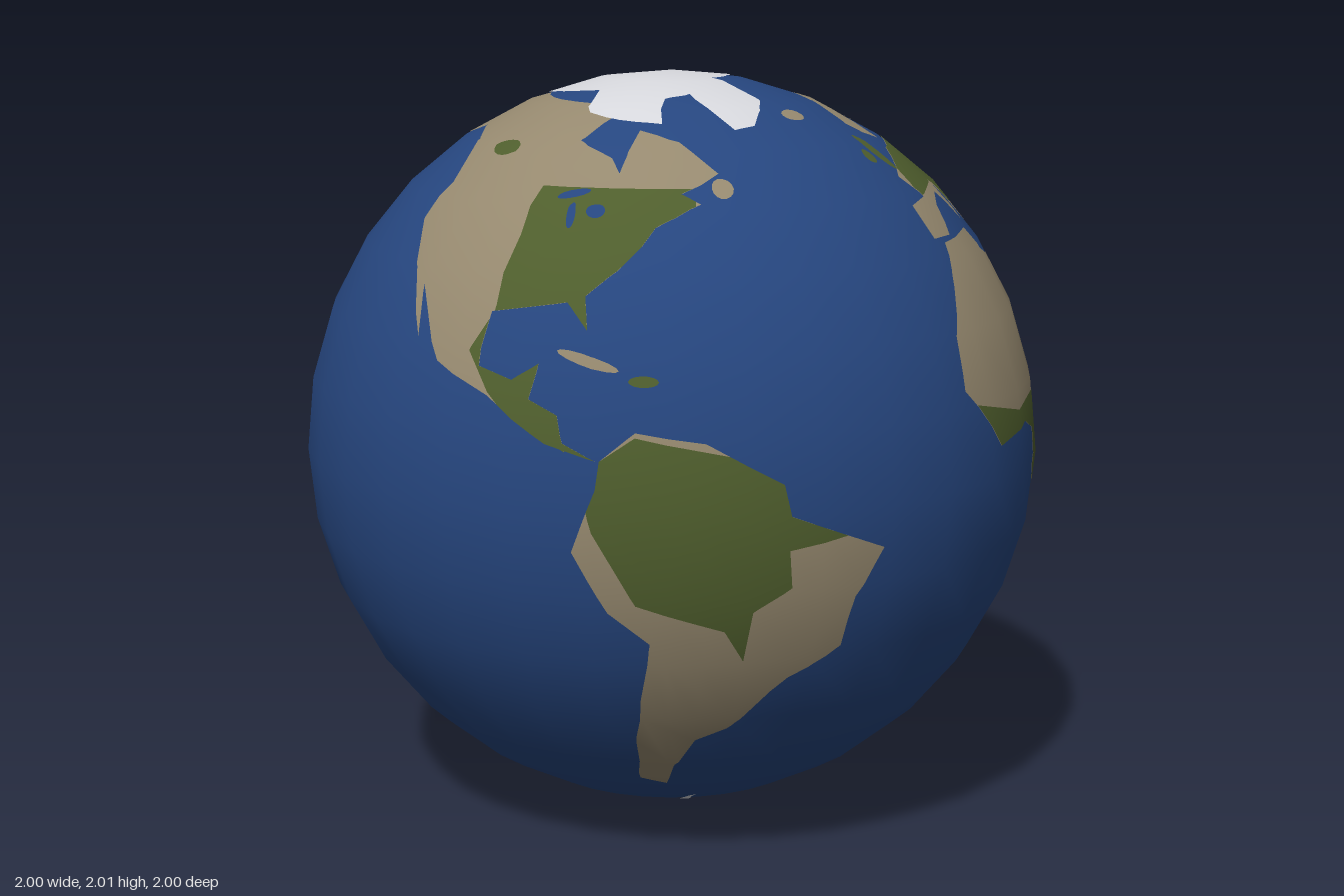
import * as THREE from 'three';

const DEG = Math.PI / 180, COLS = 32, ROWS = 16;

const mat = (name, color) => {
  const m = new THREE.MeshStandardMaterial({ color });
  m.name = name;
  return m;
};

// Unit direction of a longitude and latitude in degrees
const onSphere = ([lon, lat]) => new THREE.Vector3(
  Math.cos(lat * DEG) * Math.cos(lon * DEG), Math.sin(lat * DEG), -Math.cos(lat * DEG) * Math.sin(lon * DEG));

// The flat facets of the low-poly ball, each as a triangle on the lon/lat map
function makeFacets() {
  const facets = [], s = 360 / COLS;
  const add = (...map) => facets.push({ map, corners: map.map(onSphere) });
  for (let r = 0; r < ROWS; r++) for (let c = 0; c < COLS; c++) {
    const w = -180 + c * s, e = w + s, n = 90 - r * s, b = n - s, mid = w + s / 2;
    if (r === 0) add([mid, 90], [w, b], [e, b]);
    else if (r === ROWS - 1) add([e, n], [w, n], [mid, -90]);
    else {
      add([e, n], [w, n], [e, b]);
      add([w, n], [w, b], [e, b]);
    }
  }
  return facets;
}

const cross = (a, b, p) => (b[0] - a[0]) * (p[1] - a[1]) - (b[1] - a[1]) * (p[0] - a[0]);

// Convex polygon cut by a counter-clockwise triangle
function clip(poly, tri) {
  for (let i = 0; i < 3 && poly.length; i++) {
    const a = tri[i], b = tri[(i + 1) % 3], out = [];
    poly.forEach((p, k) => {
      const q = poly[(k + 1) % poly.length], dp = cross(a, b, p), dq = cross(a, b, q);
      if (dp >= 0) out.push(p);
      if ((dp >= 0) !== (dq >= 0)) {
        const t = dp / (dp - dq);
        out.push([p[0] + (q[0] - p[0]) * t, p[1] + (q[1] - p[1]) * t]);
      }
    });
    poly = out;
  }
  return poly;
}

// Flat list of numbers to points
const pairs = (list) => {
  const out = [];
  for (let i = 0; i < list.length; i += 2) out.push([list[i], list[i + 1]]);
  return out;
};

// Map outline to counter-clockwise triangles
function triangles(points) {
  const v = points.map(([x, y]) => new THREE.Vector2(x, y));
  return THREE.ShapeUtils.triangulateShape(v, []).map((face) => {
    const t = face.map((i) => points[i]);
    return cross(...t) < 0 ? t.reverse() : t;
  });
}

const region = (...list) => triangles(pairs(list));

// Oval island or lake: centre, half sizes and tilt in degrees
const oval = (lon, lat, rx, ry, tilt = 0) => triangles(Array.from({ length: 14 }, (_, i) => {
  const a = i / 7 * Math.PI, x = rx * Math.cos(a), y = ry * Math.sin(a);
  const c = Math.cos(tilt * DEG), s = Math.sin(tilt * DEG);
  return [lon + x * c - y * s, lat + x * s + y * c];
}));

// Part of the land lying inside a climate zone
const inside = (land, zone) => land.flatMap((t) => zone.map((z) => clip(t, z))).filter((p) => p.length > 2);

// Lay convex map pieces onto the facets as one thin patch
function patchGeometry(facets, pieces, radius) {
  const pos = [], nor = [];
  for (const piece of pieces) {
    const lons = piece.map((p) => p[0]), west = Math.min(...lons), east = Math.max(...lons);
    for (const { map, corners } of facets) {
      if (Math.max(...map.map((p) => p[0])) < west || Math.min(...map.map((p) => p[0])) > east) continue;
      const area = cross(...map);
      const pts = clip(piece, map).map((p) => {
        const v = new THREE.Vector3();
        corners.forEach((c, i) => v.addScaledVector(c, cross(map[(i + 1) % 3], map[(i + 2) % 3], p) / area));
        return v;
      });
      for (let k = 1; k + 1 < pts.length; k++) for (const v of [pts[0], pts[k], pts[k + 1]]) {
        pos.push(v.x * radius, v.y * radius, v.z * radius);
        nor.push(...v.clone().normalize().toArray());
      }
    }
  }
  const g = new THREE.BufferGeometry();
  g.setAttribute('position', new THREE.Float32BufferAttribute(pos, 3));
  g.setAttribute('normal', new THREE.Float32BufferAttribute(nor, 3));
  return g;
}

export function createModel() {
  const water = mat('ocean blue', 0x26467f), dry = mat('dry land tan', 0x96896f);
  const forest = mat('forest green', 0x4f5e2d), snow = mat('ice white', 0xd6d7dc);
  const globe = new THREE.Group();
  globe.name = 'globe';
  globe.position.y = 1;
  const facets = makeFacets();

  const ocean = new THREE.Mesh(new THREE.SphereGeometry(0.999, COLS, ROWS), water);
  ocean.name = 'ocean';
  globe.add(ocean);

  const patch = (name, material, level, ...parts) => {
    const m = new THREE.Mesh(patchGeometry(facets, parts.flat(), 0.999 + level * 0.0012), material);
    m.name = name;
    globe.add(m);
  };

  // Continents
  const northAmerica = region(-168, 66, -156, 71, -128, 70, -85, 69, -94, 59, -82, 55, -79, 52, -77, 62, -65, 59, -56, 52,
    -65, 48, -61, 46, -70, 42, -76, 35, -81, 31, -80, 26, -84, 30, -97, 28, -97, 20, -91, 18.5, -87, 21, -88, 16, -83.5, 14,
    -82, 9, -77.5, 8, -85, 10, -95, 16, -105, 20, -113, 31, -110, 23, -117, 33, -124, 41, -124, 48, -134, 57, -148, 60,
    -163, 54.5, -158, 59, -165, 62);
  const southAmerica = region(-77, 8, -72, 12, -62, 10.5, -51, 4.5, -50, 0, -35, -6, -39, -13, -40, -21, -48, -26, -57, -36,
    -62, -39, -66, -46, -68, -54, -74, -52, -73, -38, -70, -19, -76, -14, -81, -5, -77.5, 4);
  const africa = region(-6, 36, 10, 37, 11, 33, 20, 31, 32, 31, 37, 21, 43, 11.5, 51, 12, 41, -2, 40.5, -15, 35, -20, 32, -28,
    27, -34, 19, -34.5, 12, -18, 13.5, -9, 9, -1, 9.5, 4, 4, 6, -8, 4.5, -17, 14, -16, 22, -10, 31);
  const europe = region(-9, 37, -2, 37, 3, 42, 9, 44, 16, 38, 18, 40, 13, 45, 19, 42, 22, 37, 24, 41, 28, 37, 36, 36.5, 34, 30,
    43, 13, 52, 16, 59.5, 22.5, 54, 24.5, 48, 30, 60, 25.3, 60, 69, 44, 67, 30, 70, 25, 71, 14, 68, 5, 61, 7, 58, 12, 56,
    18, 60, 24, 66, 22, 61, 29, 60, 21, 55, 9, 54, -4, 48.5, -1, 44, -9, 43);
  const asia = region(60, 25.3, 67, 25, 73, 20, 77.5, 8, 80, 14, 90, 22, 97, 17, 98.5, 9, 104, 1.5, 100, 8, 100.5, 13.5, 105, 9,
    109, 12, 106, 19, 116, 23, 122, 30, 119, 36, 121.5, 40, 126, 34.5, 129, 36, 128, 40, 140, 48, 137, 54.5, 155, 59.5,
    162, 61, 156, 51, 163, 58, 180, 62.5, 180, 69, 140, 73, 105, 77, 68, 70, 60, 69);
  const australia = region(114, -22, 126, -14, 132, -11.5, 136, -15, 140.5, -17.5, 142.5, -11, 146, -19, 153, -26, 150, -37,
    145, -39, 137, -34, 131, -31.5, 118, -35, 113.5, -26);
  patch('northAmerica', dry, 1, northAmerica);
  patch('southAmerica', dry, 1, southAmerica);
  patch('africa', dry, 1, africa);
  patch('europeAndArabia', dry, 1, europe);
  patch('asia', dry, 1, asia);
  patch('australia', dry, 1, australia);
  patch('dryIslands', dry, 1, oval(47, -19, 2.3, 6.5, -18), oval(-19, 65, 5, 1.5), oval(59, 73, 7, 1.5, 25),
    oval(-79.5, 21.7, 5, 0.8, -15), oval(110, -7.5, 5, 0.8, -6), oval(175.5, -39, 3, 1.5, -60), oval(170, -44, 4, 1.3, 45),
    oval(-56, 49, 2.5, 2), oval(146.7, -42, 1.7, 1.5), oval(-175, 66, 5, 2), oval(143, 50, 4, 0.8, 90));

  // Forests: the land within each climate zone
  patch('northAmericanForest', forest, 2, oval(-116, 56, 5, 1.8), inside(northAmerica,
    region(-96.5, 49, -62, 49, -62, 40, -76, 24, -76, 7, -86, 9, -95, 16.5, -99, 22, -96.5, 28)));
  patch('southAmericanForest', forest, 2, inside(southAmerica,
    region(-80, 6, -72, 11.3, -50, 7, -41, 0, -41, -3.5, -50, -5, -49.5, -10.5, -55, -14, -56, -22, -59, -17, -72, -12.7, -78, -2)));
  patch('africanForest', forest, 2, inside(africa,
    region(-18, 12.3, 0, 8.5, 10, 9.5, 31, 9.8, 35, 7, 32, -3, 15.5, -7, 5, -3, -18, 3)));
  patch('europeanForest', forest, 2, inside([...europe, ...asia],
    region(0, 51, -3, 44, 13, 46, 20, 41, 27, 41, 44, 48, 70, 56, 72, 61, 55, 66, 23, 59, 12, 56)));
  patch('northAsianForest', forest, 2,
    inside(asia, region(69, 56, 87, 50, 104, 50.5, 117, 55, 133, 57, 136, 61.7, 99, 63, 69, 61)),
    inside(asia, region(121, 46, 118, 40, 128, 33, 142, 48, 140, 53, 118, 51)));
  patch('southAsianForest', forest, 2, inside(asia,
    region(91, 27, 104, 27, 108, 31.5, 123, 32, 112, 8, 103, 0, 96, 8, 91, 20)));
  patch('forestIslands', forest, 2, oval(-2.5, 54, 4.5, 1.8, 115), oval(-8, 53.3, 2, 1.5), oval(137.5, 35.5, 7, 1.2, 35),
    oval(143, 43.3, 2, 1.3), oval(101, -0.5, 8, 1.8, -48), oval(114, 1, 5.5, 3.5, 45), oval(121, -2, 1, 3.5),
    oval(121, 16, 1.2, 2.8), oval(125, 8, 1.8, 1.5), oval(140.5, -5.5, 9.5, 2, -22), oval(-71, 19, 2.3, 0.8));

  // Polar ice: the northern edge is drawn from above the pole as x, z
  const northEdge = pairs([-0.35, 0.04, -0.27, 0.16, -0.1, 0.25, -0.06, 0.4, 0.03, 0.43, 0.15, 0.42, 0.1, 0.3, 0.15, 0.24,
    0.32, 0.35, 0.35, 0.3, 0.31, 0.15, 0.14, 0.06, 0.14, -0.05, 0.09, -0.16, -0.18, -0.19, -0.32, -0.08])
    .map(([x, z]) => [Math.atan2(-z, x) / DEG, Math.acos(Math.hypot(x, z)) / DEG]);
  patch('arcticIce', snow, 3, oval(100, 73, 22, 3.5),
    triangles([...northEdge, [180, 69], [180, 90], [-180, 90], [-180, 69]]));
  patch('antarcticIce', snow, 3, region(-180, -77, -120, -74, -70, -72, -58, -63, -62, -75, -40, -78, -10, -71, 50, -66,
    135, -66, 167, -71, 168, -77, 180, -77, 180, -90, -180, -90));

  // Inland seas and lakes
  patch('inlandWater', water, 4, oval(34, 43.3, 6.5, 2), oval(51, 41.5, 2, 5.3, 12), oval(-88, 47.6, 3.5, 0.8, 12),
    oval(-87, 43.7, 0.9, 2.2), oval(-82, 44.5, 2, 1.2));

  const model = new THREE.Group();
  model.name = 'globeModel';
  model.add(globe);
  return model;
}
